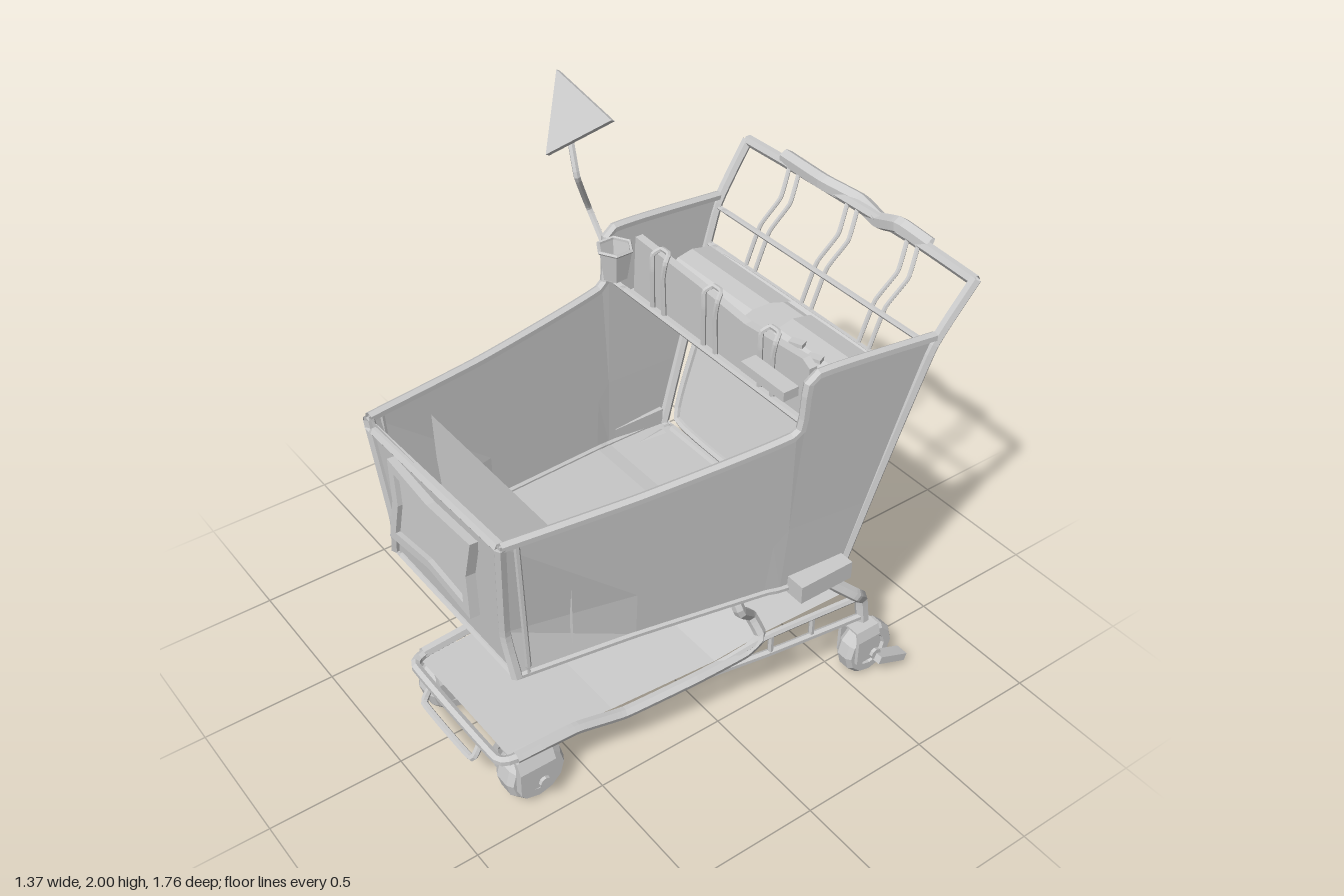
import * as THREE from 'three';

const mat = new THREE.MeshStandardMaterial({ color: 0xcccccc, flatShading: true, side: THREE.DoubleSide });
const V = (a) => new THREE.Vector3(...a);

function add(parent, name, geo, pos = [0, 0, 0], rot = [0, 0, 0]) {
  const m = new THREE.Mesh(geo, mat);
  m.name = name;
  m.position.set(...pos);
  m.rotation.set(...rot);
  parent.add(m);
  return m;
}

const box = (p, name, size, pos, rot) => add(p, name, new THREE.BoxGeometry(...size), pos, rot);

// Bent pipe with tight corners through a few points
function tube(p, name, pts, r, closed = false) {
  const curve = new THREE.CatmullRomCurve3(pts.map(V), closed, 'catmullrom', 0.2);
  return add(p, name, new THREE.TubeGeometry(curve, pts.length * 8, r, 6, closed));
}

// Surface through rows of points, all rows the same length
function loft(p, name, rows) {
  const n = rows[0].length, idx = [];
  for (let i = 0; i < rows.length - 1; i++)
    for (let j = 0; j < n - 1; j++) {
      const a = i * n + j, b = a + n;
      idx.push(a, b, a + 1, a + 1, b, b + 1);
    }
  const g = new THREE.BufferGeometry();
  g.setAttribute('position', new THREE.Float32BufferAttribute(rows.flat(2), 3));
  g.setIndex(idx);
  g.computeVertexNormals();
  return add(p, name, g);
}

// Flat outline with optional hole, extruded along z
function plate(p, name, pts, depth, hole, pos, rot) {
  const toV = (a) => a.map(([x, y]) => new THREE.Vector2(x, y));
  const s = new THREE.Shape(toV(pts));
  if (hole) s.holes.push(new THREE.Path(toV(hole)));
  return add(p, name, new THREE.ExtrudeGeometry(s, { depth, bevelEnabled: false }), pos, rot);
}

// Basket stations from front to back: [half width, y, z] at bottom and top
const bottom = [[0.37, 0.69, 0.8], [0.42, 0.67, 0.38], [0.48, 0.63, -0.1], [0.49, 0.62, -0.16], [0.51, 0.6, -0.42]];
const top = [[0.385, 1.25, 0.84], [0.445, 1.25, 0.38], [0.52, 1.29, -0.16], [0.53, 1.5, -0.2], [0.55, 1.46, -0.69]];
const middle = bottom.map((b, i) => {
  const m = b.map((v, k) => v + (top[i][k] - v) * 0.3);
  if (i === 0) m[0] -= 0.04;
  return m;
});
const flip = (s) => ([x, y, z]) => [s * x, y, z];

function basket(cart) {
  const g = new THREE.Group();
  g.name = 'basket';
  cart.add(g);
  const both = (a) => [flip(-1)(a), a];
  loft(g, 'basketFloor', bottom.map(both));
  loft(g, 'frontWall', [bottom[0], middle[0], top[0]].map(both));
  loft(g, 'innerDivider', [[0.39, 0.685, 0.6], [0.4, 1.15, 0.61]].map(both));
  tube(g, 'frontTopRail', [[-0.385, 1.22, 0.84], [0.385, 1.25, 0.84]], 0.02);
  tube(g, 'frontBottomRail', both(bottom[0]), 0.014);
  for (const s of [-1, 1]) {
    loft(g, 'sideWall', [bottom, middle, top].map((r) => r.map(flip(s))));
    tube(g, 'sideTopRail', top.map(flip(s)), 0.018);
    tube(g, 'sideBottomRail', bottom.map(flip(s)), 0.012);
    tube(g, 'frontCornerPost', [bottom[0], middle[0], top[0]].map(flip(s)), 0.02);
    box(g, 'cornerBumper', [0.075, 0.07, 0.22], [s * 0.53, 0.632, -0.3]);
    tube(g, 'rearPost', [[0.5, 0.6, -0.42], [0.52, 0.95, -0.53], [0.55, 1.42, -0.685], [0.565, 1.63, -0.83]].map(flip(s)), 0.02);
    // Upright reinforcing strip just behind the front corner
    tube(g, 'sideStrip', [[0.378, 0.69, 0.76], [0.395, 1.24, 0.79]].map(flip(s)), 0.01);
  }
  // Framed front sign with pinched edges
  const outer = [[-0.24, -0.16], [0, -0.125], [0.25, -0.15], [0.225, 0], [0.25, 0.14], [0, 0.125], [-0.24, 0.15], [-0.215, 0]];
  plate(g, 'signFrame', outer, 0.035, outer.map(([x, y]) => [x * 0.84, y * 0.76]), [0, 1.035, 0.837], [-0.06, 0, 0]);
  box(g, 'signPanel', [0.44, 0.25, 0.015], [0, 1.035, 0.847], [-0.06, 0, 0]);
}

function backGate(cart) {
  const outline = [[-0.44, 0.64, -0.44], [-0.455, 0.95, -0.535], [-0.48, 1.27, -0.625],
    [0, 1.285, -0.63], [0.48, 1.27, -0.625], [0.455, 0.95, -0.535], [0.44, 0.64, -0.44], [0, 0.625, -0.435]];
  loft(cart, 'gatePanel', [[outline[0], outline[7], outline[6]], [outline[1], [0, 0.95, -0.535], outline[5]], [outline[2], outline[3], outline[4]]]);
  tube(cart, 'gateFrame', outline, 0.016, true);
  tube(cart, 'gateTopBar', [[-0.54, 1.29, -0.64], [0.54, 1.29, -0.64]], 0.012);
  tube(cart, 'upperCrossBar', [[-0.55, 1.42, -0.685], [0.55, 1.42, -0.685]], 0.01);
  tube(cart, 'rearBottomBar', [[-0.5, 0.6, -0.42], [0.5, 0.6, -0.42]], 0.016);
  // Handle: thin bar with a thicker, uneven grip
  tube(cart, 'handleBar', [[-0.565, 1.63, -0.83], [-0.3, 1.635, -0.83], [0.3, 1.635, -0.83], [0.565, 1.62, -0.83]], 0.02);
  tube(cart, 'handleGrip', [[-0.37, 1.645, -0.84], [-0.15, 1.65, -0.825], [0, 1.635, -0.855], [0.12, 1.625, -0.835], [0.23, 1.665, -0.82], [0.34, 1.635, -0.845]], 0.03);
  for (const x of [-0.3, 0, 0.29])
    for (const d of [-0.025, 0.025])
      tube(cart, 'handleWire', [[x + d, 1.63, -0.82], [x + d + 0.025, 1.54, -0.765], [x + d, 1.44, -0.7], [x + d, 1.28, -0.635]], 0.008);
}

function childSeat(cart) {
  const g = new THREE.Group();
  g.name = 'childSeat';
  cart.add(g);
  // Two curved flaps over a flat shelf
  for (const [a, b] of [[-0.5, -0.05], [0.05, 0.51]])
    loft(g, 'seatFlap', [[1.3, -0.62], [1.325, -0.53], [1.32, -0.46], [1.29, -0.4]].map(([y, z], i) => [[a + i * 0.01, y, z], [b - i * 0.008, y, z]]));
  loft(g, 'seatShelf', [[[-0.5, 1.28, -0.62], [0.5, 1.28, -0.62]], [[-0.46, 1.28, -0.23], [0.46, 1.28, -0.23]]]);
  const back = [[-0.45, 1.28], [0.46, 1.28], [0.465, 1.47], [0.43, 1.49], [0.15, 1.465], [-0.1, 1.485], [-0.44, 1.5]];
  plate(g, 'seatBack', back, 0.03, null, [0, 0, -0.275]);
  for (const x of [-0.28, 0, 0.29])
    tube(g, 'seatHook', [[x - 0.032, 1.27, -0.225], [x - 0.03, 1.44, -0.22], [x - 0.035, 1.5, -0.225], [x - 0.02, 1.52, -0.25], [x + 0.02, 1.52, -0.25], [x + 0.035, 1.5, -0.225], [x + 0.03, 1.44, -0.22], [x + 0.032, 1.27, -0.225]], 0.009);
  box(g, 'seatLedge', [0.21, 0.035, 0.06], [0.355, 1.4, -0.18]);
  tube(g, 'seatFrontBar', [[-0.52, 1.285, -0.22], [0.52, 1.285, -0.22]], 0.012);
  // Safety straps with buckles
  for (const [x0, x1, z1] of [[0.16, 0.2, -0.43], [0.43, 0.3, -0.42]]) {
    loft(g, 'strap', [[[x0 - 0.015, 1.4, -0.28], [x0 + 0.015, 1.4, -0.28]], [[x0 - 0.03, 1.34, -0.33], [x0, 1.34, -0.33]], [[x1 - 0.015, 1.34, z1], [x1 + 0.015, 1.34, z1]]]);
    box(g, 'buckle', [0.05, 0.015, 0.03], [x1, 1.345, z1], [0, 0.4, 0]);
  }
}

function chassis(cart) {
  const g = new THREE.Group();
  g.name = 'chassis';
  cart.add(g);
  // Lower tray, narrow at the front
  const tray = [[0.27, 0.235, 0.8], [0.31, 0.23, 0.4], [0.36, 0.26, 0], [0.39, 0.31, -0.2], [0.42, 0.335, -0.54]];
  loft(g, 'lowerTray', tray.map(([w, y, z]) => [[-w, y, z], [0, y + 0.01, z], [w, y + 0.015, z]]));
  tube(g, 'trayFrontRail', [[-0.3, 0.24, 0.76], [-0.26, 0.235, 0.83], [0.26, 0.235, 0.83], [0.3, 0.24, 0.76]], 0.018);
  tube(g, 'trayRearRail', [[-0.46, 0.34, -0.55], [0.46, 0.34, -0.55]], 0.013);
  tube(g, 'frontStep', [[-0.16, 0.225, 0.83], [-0.15, 0.165, 0.865], [0.15, 0.165, 0.865], [0.16, 0.225, 0.83]], 0.013);
  for (const z of [0.68, 0.5]) tube(g, 'trayBrace', [[-0.3, 0.225, z], [0.3, 0.225, z]], 0.01);
  for (const s of [-1, 1]) {
    const f = flip(s);
    tube(g, 'frontLegTube', [[0.45, 0.59, -0.38], [0.42, 0.59, -0.13], [0.37, 0.57, -0.065], [0.4, 0.5, -0.07], [0.36, 0.41, -0.15], [0.4, 0.33, -0.17], [0.4, 0.29, -0.1], [0.38, 0.265, 0.1], [0.33, 0.22, 0.36], [0.31, 0.245, 0.55], [0.3, 0.24, 0.78]].map(f), 0.022);
    tube(g, 'rearLegTube', [[0.49, 0.6, -0.41], [0.44, 0.49, -0.42], [0.49, 0.4, -0.52], [0.46, 0.33, -0.58], [0.47, 0.21, -0.59]].map(f), 0.025);
    tube(g, 'lowerSideRail', [[0.36, 0.25, 0.15], [0.42, 0.25, -0.2], [0.47, 0.25, -0.58]].map(f), 0.014);
    tube(g, 'upperSideRail', [[0.38, 0.27, 0.05], [0.41, 0.325, -0.18], [0.46, 0.34, -0.56]].map(f), 0.014);
    for (const [x, z] of [[0.42, -0.2], [0.44, -0.37]]) tube(g, 'railPost', [[s * x, 0.25, z], [s * x, 0.33, z]], 0.011);
    caster(g, 'frontCaster', s * 0.255, 0.7, 0.115, 0.085, 0.03, 0.14);
    caster(g, 'rearCaster', s * 0.48, -0.6, 0.107, 0.055, 0.014, 0.1);
    box(g, 'brakeLever', [0.05, 0.03, 0.14], [s * 0.55, 0.07, -0.66], [-0.4, 0, 0]);
  }
}

// Wheel with rounded tyre, hub, axle and fork
function caster(parent, name, x, z, r, hw, t, depth) {
  const g = new THREE.Group();
  g.name = name;
  g.position.set(x, 0, z);
  parent.add(g);
  const w = hw - t - 0.003;
  const profile = [[0, -w * 0.7], [r * 0.55, -w * 0.7], [r * 0.6, -w], [r * 0.88, -w], [r, -w * 0.55], [r, w * 0.55], [r * 0.88, w], [r * 0.6, w], [r * 0.55, w * 0.7], [0, w * 0.7]];
  add(g, 'wheel', new THREE.LatheGeometry(profile.map(([a, b]) => new THREE.Vector2(a, b)), 12), [0, r, 0], [0, 0, Math.PI / 2]);
  add(g, 'axle', new THREE.CylinderGeometry(0.022, 0.022, hw * 2 + 0.025, 8), [0, r, 0], [0, 0, Math.PI / 2]);
  const a = hw, b = hw - t, y = r - 0.02;
  plate(g, 'fork', [[-a, y], [-a, 0.19], [-a * 0.75, 0.23], [a * 0.75, 0.23], [a, 0.19], [a, y], [b, y], [b, 0.2], [b * 0.8, 0.222], [-b * 0.8, 0.222], [-b, 0.2], [-b, y]], depth, null, [0, 0, z > 0 ? -0.05 : -0.02]);
}

// Pennant on a bent pole, and a six-sided cup
function accessories(root) {
  const g = new THREE.Group();
  g.name = 'accessories';
  root.add(g);
  tube(g, 'flagPole', [[-0.43, 1.4, -0.2], [-0.54, 1.53, -0.2], [-0.475, 1.71, -0.11], [-0.545, 1.84, -0.13]], 0.012);
  const tri = [[-0.68, 2.0, -0.175], [-0.38, 1.935, -0.185], [-0.57, 1.77, -0.05]];
  const off = tri.map(([x, y, z]) => [x, y - 0.008, z - 0.014]);
  const ring = (a) => [...a, a[0]];
  loft(g, 'flagEdge', [ring(tri), ring(off)]);
  for (const t of [tri, off]) loft(g, 'flagFace', [[t[0], t[1]], [t[2], t[2]]]);
  add(g, 'cup', new THREE.CylinderGeometry(0.064, 0.045, 0.115, 6, 1, true), [-0.31, 1.45, -0.145]);
  add(g, 'cupBase', new THREE.CylinderGeometry(0.045, 0.045, 0.01, 6), [-0.31, 1.395, -0.145]);
  add(g, 'cupRim', new THREE.TorusGeometry(0.062, 0.007, 5, 6), [-0.31, 1.505, -0.145], [Math.PI / 2, 0, Math.PI / 6]);
}

export function createModel() {
  const root = new THREE.Group();
  root.name = 'shoppingCart';
  const cart = new THREE.Group();
  cart.name = 'cart';
  cart.position.x = 0.11;
  root.add(cart);
  basket(cart);
  backGate(cart);
  childSeat(cart);
  chassis(cart);
  accessories(root);
  return root;
}
